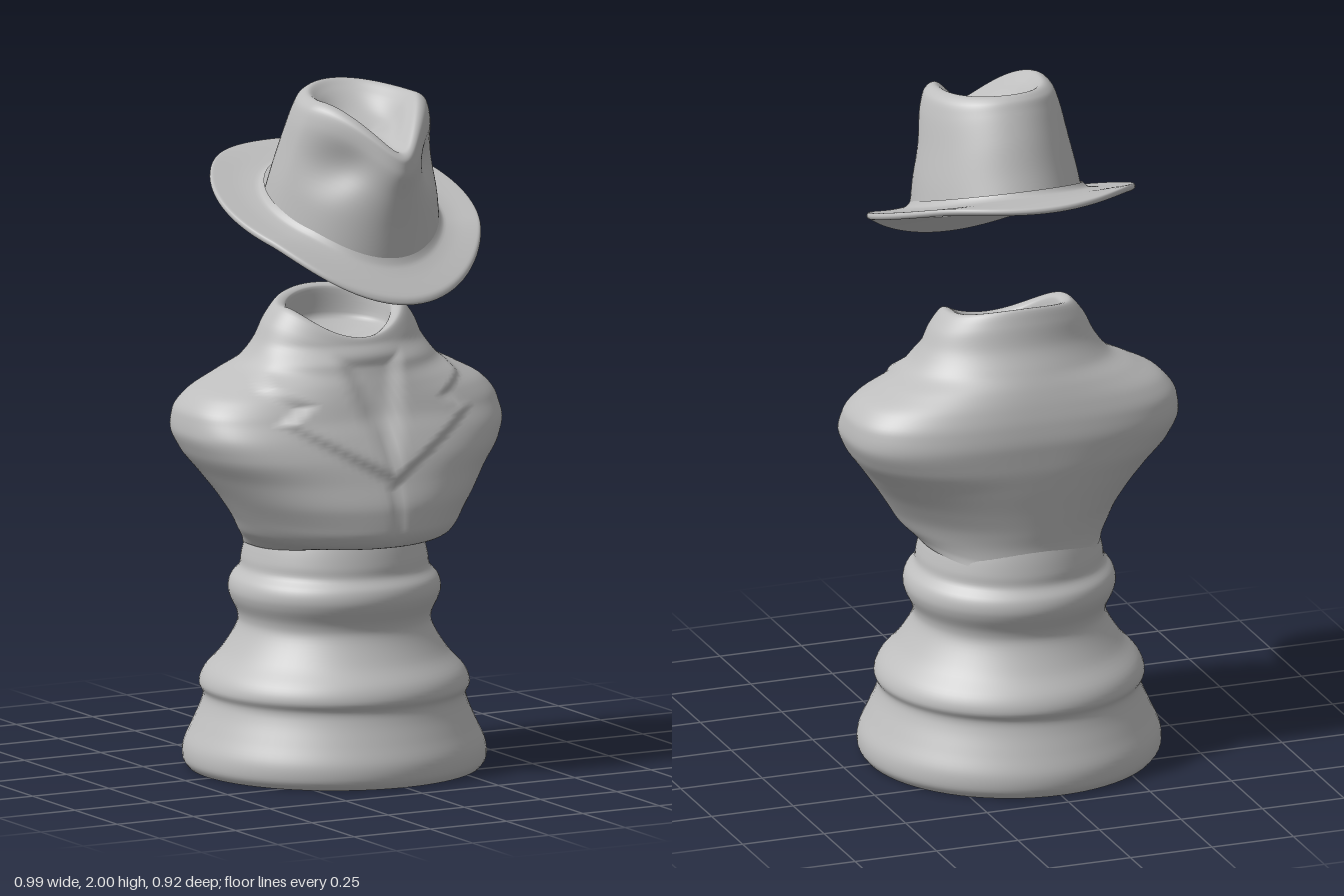
import * as THREE from 'three';

const grey = new THREE.MeshStandardMaterial({ color: 0xbdbdbd, side: THREE.DoubleSide });
grey.name = 'plain grey';

const { smoothstep, lerp } = THREE.MathUtils;

// Smooth interpolation through values without overshoot.
function ease(a, b, c, d, t) {
  const slope = (p, q) => (p * q <= 0 ? 0 : (2 * p * q) / (p + q));
  const m0 = slope(b - a, c - b), m1 = slope(c - b, d - c);
  const t2 = t * t, t3 = t2 * t;
  return (2 * t3 - 3 * t2 + 1) * b + (t3 - 2 * t2 + t) * m0 + (3 * t2 - 2 * t3) * c + (t3 - t2) * m1;
}

// Loft through rings of [front y, side y, back y, half width, front z, back z, shape].
// section(angle, shape) gives the unit outline; deform(point, cos) adjusts each vertex.
function loft(rings, steps, cols, section, deform) {
  const rows = [];
  const at = i => rings[Math.min(Math.max(i, 0), rings.length - 1)];
  for (let i = 0; i < rings.length - 1; i++) {
    for (let s = 0; s < steps; s++) {
      rows.push(rings[i].map((v, k) => ease(at(i - 1)[k] * 1, v, at(i + 1)[k], at(i + 2)[k], s / steps)));
    }
  }
  rows.push(rings[rings.length - 1]);
  const pos = [], idx = [], p = new THREE.Vector3();
  rows.forEach(([yF, yS, yB, w, f, b, shape], i) => {
    for (let j = 0; j < cols; j++) {
      const a = (j / cols) * Math.PI * 2, c = Math.cos(a);
      const [sx, sz] = section(a, shape);
      p.set(w * sx, lerp(yS, c > 0 ? yF : yB, c * c), (f + b) / 2 + ((f - b) / 2) * sz);
      deform(p, c);
      pos.push(p.x, p.y, p.z);
      if (i < rows.length - 1) {
        const k = (j + 1) % cols, r = i * cols, n = r + cols;
        idx.push(r + j, r + k, n + k, r + j, n + k, n + j);
      }
    }
  });
  const g = new THREE.BufferGeometry();
  g.setAttribute('position', new THREE.Float32BufferAttribute(pos, 3));
  g.setIndex(idx);
  g.computeVertexNormals();
  return g;
}

// Signed distance to a polygon, positive inside.
function inside(poly, x, y) {
  let d = Infinity, hit = false;
  poly.forEach(([x1, y1], i) => {
    const [x2, y2] = poly[(i + 1) % poly.length];
    const dx = x2 - x1, dy = y2 - y1;
    const t = Math.min(1, Math.max(0, ((x - x1) * dx + (y - y1) * dy) / (dx * dx + dy * dy)));
    d = Math.min(d, Math.hypot(x - x1 - t * dx, y - y1 - t * dy));
    if ((y1 > y) !== (y2 > y) && x < x1 + ((y - y1) * dx) / dy) hit = !hit;
  });
  return hit ? d : -d;
}

// Turned pedestal
function pedestal() {
  const profile = new THREE.SplineCurve([
    [0.42, 0], [0.436, 0.025], [0.434, 0.07], [0.41, 0.125], [0.386, 0.18], [0.378, 0.215],
    [0.389, 0.245], [0.374, 0.285], [0.325, 0.34], [0.283, 0.41], [0.28, 0.45], [0.3, 0.495],
    [0.306, 0.525], [0.298, 0.555], [0.274, 0.585], [0.268, 0.62], [0.255, 0.67], [0.23, 0.74],
  ].map(q => new THREE.Vector2(...q))).getPoints(85);
  const g = new THREE.LatheGeometry(
    [new THREE.Vector2(0, 0), new THREE.Vector2(0.415, 0), ...profile], 72);
  return g.translate(0, 0, -0.02);
}

// Coat torso with shoulders, lapels and an open collar
function torso() {
  const rings = [
    [0.68, 0.66, 0.62, 0.262, 0.235, -0.282, 2],
    [0.682, 0.68, 0.65, 0.28, 0.29, -0.272, 2],
    [0.695, 0.705, 0.69, 0.305, 0.345, -0.27, 2],
    [0.74, 0.75, 0.74, 0.333, 0.37, -0.275, 2],
    [0.8, 0.81, 0.8, 0.372, 0.366, -0.282, 2.1],
    [0.88, 0.88, 0.88, 0.422, 0.338, -0.292, 2.3],
    [0.95, 0.95, 0.95, 0.472, 0.308, -0.297, 2.6],
    [1.01, 1.01, 1.01, 0.495, 0.275, -0.297, 2.7],
    [1.06, 1.06, 1.07, 0.49, 0.245, -0.288, 2.6],
    [1.1, 1.11, 1.12, 0.455, 0.228, -0.273, 2.4],
    [1.14, 1.155, 1.17, 0.375, 0.212, -0.252, 2.2],
    [1.18, 1.195, 1.22, 0.3, 0.196, -0.224, 2],
    [1.215, 1.25, 1.28, 0.258, 0.184, -0.19, 2],
    [1.25, 1.31, 1.345, 0.228, 0.174, -0.17, 2],
    [1.275, 1.355, 1.385, 0.185, 0.16, -0.15, 2],
    [1.265, 1.345, 1.375, 0.158, 0.135, -0.128, 2],
    [1.23, 1.28, 1.29, 0.145, 0.12, -0.12, 2],
    [1.22, 1.25, 1.25, 0, 0, 0, 2],
  ];
  const lapel = [[-0.2, 0.77], [0, 0.885], [0.295, 1.055], [0.225, 1.1], [0.315, 1.145],
    [0.3, 1.22], [0.24, 1.42], [-0.2, 1.42]];
  const shirt = [[-0.1, 0.8], [0, 0.91], [0.055, 1.06], [0.1, 1.23], [-0.1, 1.23]];
  const section = (a, n) => {
    const s = Math.sin(a), c = Math.cos(a);
    const r = Math.pow(Math.pow(Math.abs(s), n) + Math.pow(Math.abs(c), n), -1 / n);
    return [s * r, c * r];
  };
  return loft(rings, 6, 128, section, (p, c) => {
    const x = Math.abs(p.x), front = smoothstep(c, 0.05, 0.4) * (1 - smoothstep(p.y, 1.2, 1.26));
    const raise = 0.024 * smoothstep(inside(lapel, x, p.y), -0.012, 0.014)
      - 0.02 * smoothstep(inside(shirt, x, p.y), -0.02, 0.04);
    // Closing seam below the lapels
    const seam = p.y < 0.88 ? 0.008 * Math.exp(-((p.x / 0.014) ** 2)) * smoothstep(p.y, 0.68, 0.72) : 0;
    p.z += front * (raise - seam);
  });
}

const brimY = z => 1.665 - 0.34 * z - 0.084 * Math.pow(Math.max(0, (z - 0.22) / 0.24), 1.6)
  - 0.03 * Math.pow(Math.max(0, (-z - 0.2) / 0.17), 2);

// Hat brim, bent along its length
function brim() {
  const ring = (y, w, f, b) => [y, y, y, w, f, b, 0];
  const rings = [
    ring(-0.008, 0.238, 0.342, -0.188), ring(-0.01, 0.31, 0.4, -0.28), ring(-0.011, 0.37, 0.45, -0.357),
    ring(-0.008, 0.378, 0.458, -0.366), ring(0, 0.381, 0.461, -0.37), ring(0.008, 0.378, 0.457, -0.366),
    ring(0.01, 0.37, 0.449, -0.356), ring(0.008, 0.31, 0.4, -0.28), ring(0.012, 0.262, 0.366, -0.212),
    ring(0.03, 0.244, 0.352, -0.19),
  ];
  return loft(rings, 4, 96, a => [Math.sin(a), Math.cos(a)], p => { p.y += brimY(p.z); });
}

// Pinched crown with a teardrop dent on top
function crown() {
  const rings = [
    [1.538, 1.638, 1.735, 0.246, 0.354, -0.195, 0],
    [1.62, 1.72, 1.8, 0.236, 0.365, -0.163, 0.08],
    [1.72, 1.82, 1.89, 0.219, 0.385, -0.122, 0.26],
    [1.79, 1.915, 1.96, 0.203, 0.403, -0.082, 0.42],
    [1.825, 1.962, 1.99, 0.186, 0.402, -0.06, 0.48],
    [1.848, 1.98, 2, 0.156, 0.378, -0.036, 0.48],
    [1.848, 1.955, 1.975, 0.12, 0.335, 0, 0.42],
    [1.855, 1.9, 1.915, 0.07, 0.275, 0.08, 0.3],
    [1.88, 1.88, 1.88, 0, 0.19, 0.19, 0],
  ];
  const section = (a, pinch) => [Math.sin(a) * (1 - pinch * Math.max(0, Math.cos(a)) ** 1.3), Math.cos(a)];
  return loft(rings, 6, 96, section, p => {
    // Finger dents on both sides of the front
    const d = ((p.y - 1.8) / 0.07) ** 2 + ((p.z - 0.29) / 0.075) ** 2;
    p.x *= 1 - 0.22 * Math.exp(-d);
  });
}

export function createModel() {
  const model = new THREE.Group();
  model.name = 'hatted bust';
  const add = (parent, name, geometry) => {
    const mesh = new THREE.Mesh(geometry, grey);
    mesh.name = name;
    parent.add(mesh);
  };
  add(model, 'pedestal', pedestal());
  add(model, 'coatTorso', torso());
  const hat = new THREE.Group();
  hat.name = 'hat';
  add(hat, 'hatBrim', brim());
  add(hat, 'hatCrown', crown());
  model.add(hat);
  return model;
}
